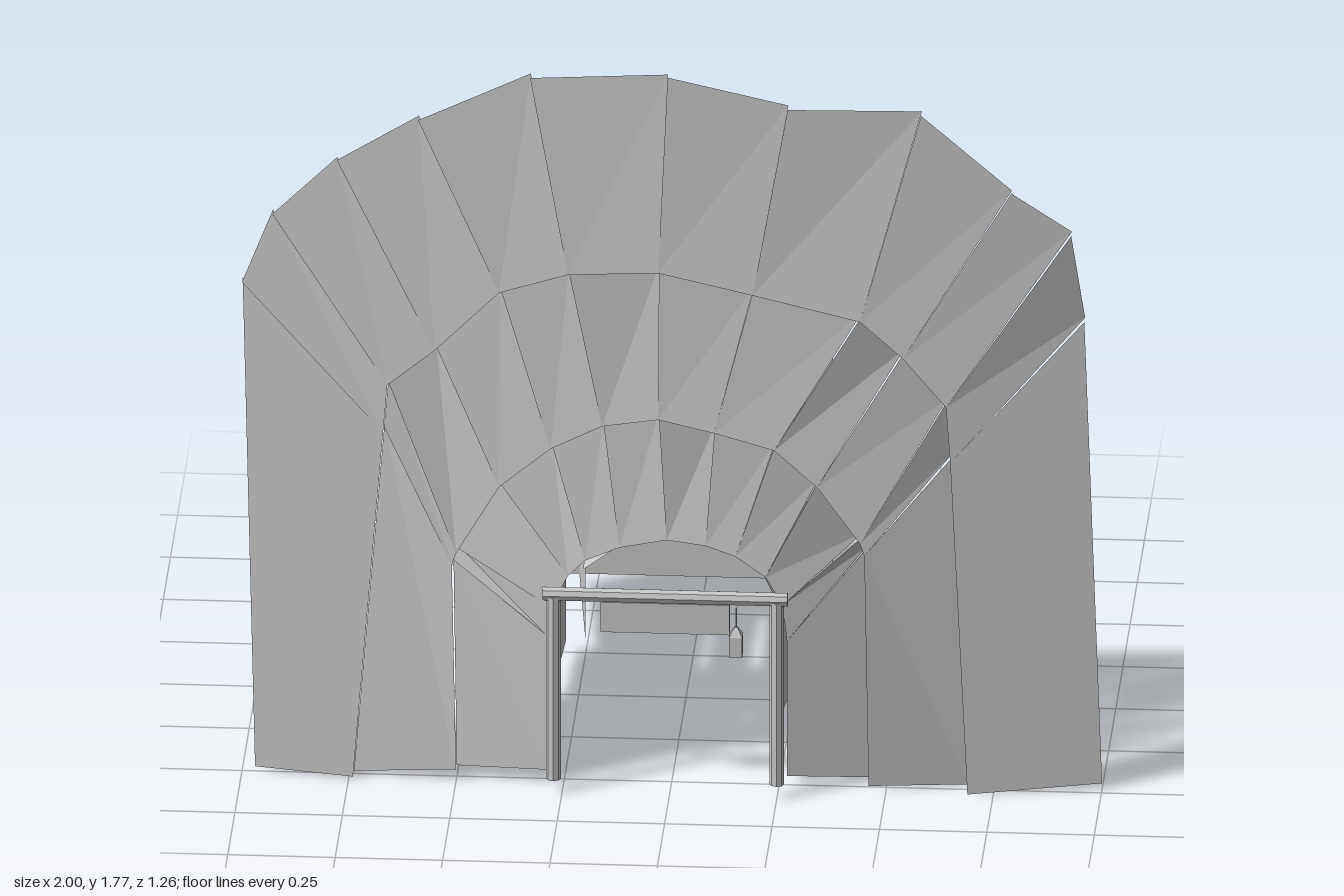
import * as THREE from 'three';

// Stone and timber share one flat grey
const grey = new THREE.MeshStandardMaterial({ color: 0xc8c8c8, side: THREE.DoubleSide, flatShading: true });
grey.name = 'plain grey';

function addMesh(parent, name, geometry, x = 0, y = 0, z = 0) {
  const mesh = new THREE.Mesh(geometry, grey);
  mesh.name = name;
  mesh.position.set(x, y, z);
  parent.add(mesh);
  return mesh;
}

// One loose sheet with four corners, counter-clockwise from outside
function sheet(a, b, c, d) {
  const g = new THREE.BufferGeometry();
  g.setAttribute('position', new THREE.Float32BufferAttribute([...a, ...b, ...c, ...d], 3));
  g.setIndex([0, 1, 2, 0, 2, 3]);
  g.computeVertexNormals();
  return g;
}

// Arch outlines from the left foot over the top to the right foot
const arches = [
  [[-.29, .04], [-.29, .38], [-.28, .45], [-.24, .53], [-.2, .57], [-.12, .605], [-.01, .627],
    [.08, .615], [.15, .59], [.22, .54], [.26, .47], [.27, .38], [.27, .04]],
  [[-.5, .035], [-.51, .55], [-.5, .58], [-.4, .75], [-.28, .85], [-.16, .91], [-.03, .93],
    [.1, .9], [.24, .86], [.34, .77], [.44, .63], [.45, .6], [.46, .02]],
  [[-.74, .01], [-.67, .88], [-.66, 1], [-.55, 1.09], [-.4, 1.24], [-.24, 1.29], [-.03, 1.3],
    [.19, 1.25], [.44, 1.19], [.54, 1.1], [.64, .98], [.65, .84], [.69, .005]],
  [[-.97, .015], [-1, 1.24], [-.93, 1.41], [-.78, 1.55], [-.59, 1.66], [-.33, 1.77], [-.01, 1.78],
    [.27, 1.71], [.58, 1.7], [.79, 1.51], [.93, 1.41], [.96, 1.19], [1, .02]],
];

// Rock face: three rings of slabs, each leaning back towards its outer edge
function buildRockFace(root) {
  const face = new THREE.Group();
  face.name = 'rockFace';
  for (let r = 0; r < 3; r++) {
    const inner = arches[r], outer = arches[r + 1];
    for (let i = 0; i < inner.length - 1; i++) {
      // each slab is twisted a little, so neighbours step in depth at the joint
      const twist = (i + r) % 3 === 0 ? .018 : .009;
      addMesh(face, 'rockSlab', sheet(
        [...inner[i], .53], [...inner[i + 1], .53],
        [...outer[i + 1], .487 - twist], [...outer[i], .487 + twist]));
    }
  }
  root.add(face);
}

// Tunnel: three bays of loose boards along an arched section
function buildTunnel(root) {
  const tunnel = new THREE.Group();
  tunnel.name = 'tunnel';
  const section = [[-.28, .04], [-.28, .38], [-.265, .45], [-.22, .535], [-.14, .595], [-.04, .63],
    [.04, .63], [.13, .595], [.21, .535], [.25, .45], [.265, .38], [.265, .04]];
  const bays = [-.63, -.24, .145, .5];
  // sideways shift of each board: back and front, for left and right sides
  const shifts = [
    { left: [-.01, .03], right: [.005, .035] },
    { left: [-.015, -.03], right: [.005, -.03] },
    { left: [-.01, -.035], right: [.005, .005] },
  ];
  // share of that shift taken by each board, from wall to wall
  const shares = [1, 1, .5, -.4, 0, 0, 0, -.4, .5, 1, 1];
  shifts.forEach((shift, b) => {
    const z0 = bays[b], z1 = bays[b + 1];
    shares.forEach((k, i) => {
      const [x0, y0] = section[i], [x1, y1] = section[i + 1];
      const [back, front] = i < 5 ? shift.left : shift.right;
      addMesh(tunnel, i % 10 === 0 ? 'tunnelWall' : 'roofBoard', sheet(
        [x0 + k * back, y0, z0], [x0 + k * front, y0, z1],
        [x1 + k * front, y1, z1], [x1 + k * back, y1, z0]));
    });
  });
  addMesh(tunnel, 'backWall', new THREE.PlaneGeometry(.615, .66), -.007, .372, -.63);
  root.add(tunnel);
}

// Timber frame with two posts, a beam and a hanging board
function buildFrame(root) {
  const frame = new THREE.Group();
  frame.name = 'timberFrame';
  for (const x of [-.27, .25]) {
    addMesh(frame, 'post', new THREE.CylinderGeometry(.017, .017, .46, 8), x, .27, .58);
  }
  const beam = addMesh(frame, 'beam', new THREE.CylinderGeometry(.017, .017, .57, 8), -.01, .505, .578);
  beam.rotation.z = Math.PI / 2;
  addMesh(frame, 'hangingBoard', new THREE.BoxGeometry(.3, .075, .006), -.01, .45, .577);
  root.add(frame);
}

// Lantern on a thin straight hook in front of the beam
function buildLantern(root) {
  const lantern = new THREE.Group();
  lantern.name = 'lantern';
  lantern.position.set(.157, 0, .61);
  addMesh(lantern, 'lanternBody', new THREE.BoxGeometry(.03, .05, .03), 0, .4, 0);
  const cap = addMesh(lantern, 'lanternCap', new THREE.CylinderGeometry(.005, .022, .022, 4), 0, .436, 0);
  cap.rotation.y = Math.PI / 4;
  addMesh(lantern, 'lanternHook', new THREE.CylinderGeometry(.002, .002, .05, 6), 0, .47, 0);
  root.add(lantern);
}

export function createModel() {
  const root = new THREE.Group();
  root.name = 'mineEntrance';
  buildRockFace(root);
  buildTunnel(root);
  buildFrame(root);
  buildLantern(root);
  return root;
}
